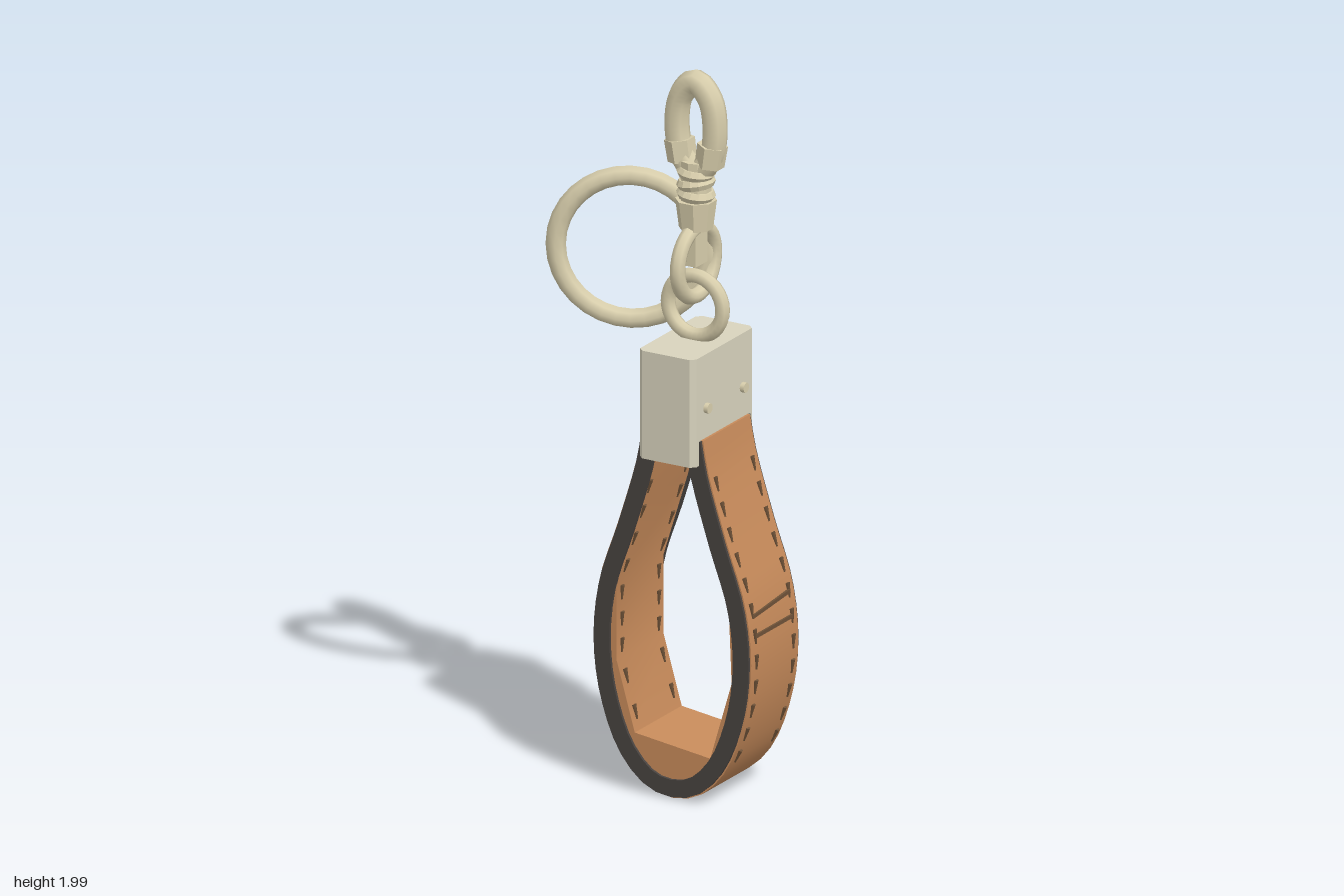
import * as THREE from 'three';
import { toCreasedNormals } from 'three/addons/utils/BufferGeometryUtils.js';

const CX = 0.085; // axis of strap, clamp and hook
const mat = (color, flatShading = false) =>
  new THREE.MeshStandardMaterial({ color, flatShading, side: THREE.DoubleSide });

export function createModel() {
  const root = new THREE.Group();
  const leather = mat(0xc68a5a), edge = mat(0x47423f), thread = mat(0x6e5238);
  const metal = mat(0xd8ceac), metalFlat = mat(0xd8ceac, true), plate = mat(0xd8d3bd, true);

  const add = (name, geo, material, x = 0, y = 0, z = 0, parent = root) => {
    const m = new THREE.Mesh(geo, material);
    m.name = name;
    m.position.set(x, y, z);
    parent.add(m);
    return m;
  };
  const extrude = (pts, depth) => toCreasedNormals(
    new THREE.ExtrudeGeometry(new THREE.Shape(pts), { depth, bevelEnabled: false }), 0.5);

  // Teardrop path of the strap, mirrored about its axis
  const half = [[0.093, 1.02], [0.11, 0.93], [0.165, 0.75], [0.222, 0.58], [0.24, 0.42],
    [0.22, 0.26], [0.16, 0.11], [0.08, 0.03]];
  const path = new THREE.CatmullRomCurve3([
    ...half.map(([d, y]) => new THREE.Vector3(CX - d, y, 0)),
    new THREE.Vector3(CX, 0.01, 0),
    ...half.slice().reverse().map(([d, y]) => new THREE.Vector3(CX + d, y, 0)),
  ]);
  const offset = (t, d) => { // move towards the inside of the loop
    const p = path.getPointAt(t), g = path.getTangentAt(t);
    return new THREE.Vector2(p.x - g.y * d, p.y + g.x * d);
  };
  const N = 48;
  const line = (d) => Array.from({ length: N + 1 }, (_, i) => offset(i / N, d));

  // Leather band with a coarsely folded inner face
  const liner = [[0.125, 1.02], [0.18, 0.82], [0.255, 0.6], [0.265, 0.36], [0.2, 0.14],
    [-0.03, 0.17], [-0.085, 0.36], [-0.085, 0.58], [-0.01, 0.82], [0.04, 1.02]]
    .map(([x, y]) => new THREE.Vector2(x, y));
  add('strap', extrude([...line(0), ...liner], 0.24), leather, 0, 0, -0.12);

  // Dark painted edges on both sides of the band
  const edgeGeo = extrude([...line(0.004), ...line(0.052).reverse()], 0.01);
  for (const z of [-0.128, 0.118]) add('strapEdge', edgeGeo, edge, 0, 0, z);

  // Stitching on the outer and inner faces
  const stitches = new THREE.Group();
  stitches.name = 'stitching';
  root.add(stitches);
  const stitchGeo = new THREE.CylinderGeometry(0.003, 0.008, 0.04, 5);
  const stitch = (x, y, angle) => {
    for (const z of [-0.094, 0.094]) add('stitch', stitchGeo, thread, x, y, z, stitches).rotation.z = angle;
  };
  for (let i = 0; i < 30; i++) {
    const t = 0.055 + i * 0.89 / 29, g = path.getTangentAt(t), p = offset(t, 0);
    if (p.y > 0.15) stitch(p.x, p.y, Math.atan2(g.y, g.x) + Math.PI / 2);
  }
  for (let i = 0; i < liner.length - 1; i++) {
    if (i === 4) continue; // plain fold at the bottom
    const a = liner[i], b = liner[i + 1], n = Math.round(a.distanceTo(b) / 0.08);
    for (let k = 0; k < n; k++) {
      const p = a.clone().lerp(b, (k + 0.5) / n);
      if (p.y < 0.9) stitch(p.x, p.y, Math.atan2(b.y - a.y, b.x - a.x) + Math.PI / 2);
    }
  }

  // Slits across the band
  for (const side of [-1, 1]) {
    for (const [y, d, tilt] of [[0.495, 0.237, 0], [0.555, 0.228, 0.08]]) {
      const slit = add('slit', new THREE.BoxGeometry(0.008, 0.01, 0.19), thread, CX + side * d, y, 0);
      slit.rotation.x = tilt;
    }
  }

  // Metal clamp with chamfered vertical corners
  const w = 0.086, h = 0.155, c = 0.014;
  const outline = [[w - c, -h], [w, c - h], [w, h - c], [w - c, h], [c - w, h], [-w, h - c], [-w, c - h], [c - w, -h]]
    .map(([x, y]) => new THREE.Vector2(x, y));
  const clampGeo = new THREE.ExtrudeGeometry(new THREE.Shape(outline), { depth: 0.3, bevelEnabled: false });
  clampGeo.rotateX(-Math.PI / 2);
  add('clamp', clampGeo, plate, CX, 0.952, 0);
  for (const z of [-0.093, 0.093]) {
    const rivet = add('rivet', new THREE.CylinderGeometry(0.014, 0.014, 0.196, 10), metal, CX, 1.103, z);
    rivet.rotation.z = Math.PI / 2;
  }

  // Linked rings
  const ring = (name, R, r, x, y, z, turn, sides = 8) => {
    const m = add(name, new THREE.TorusGeometry(R, r, sides, 32), metal, x, y, z);
    m.rotation.y = turn;
  };
  ring('lowerRing', 0.083, 0.02, 0.083, 1.343, 0, 0);
  ring('middleRing', 0.094, 0.021, 0.085, 1.465, 0, Math.PI / 2);
  ring('largeRing', 0.199, 0.027, -0.115, 1.468, -0.004, 0.41);

  // Swivel: stub, block and wound collar
  add('swivelStub', new THREE.BoxGeometry(0.034, 0.12, 0.06), metalFlat, CX, 1.52, 0);
  const block = add('swivelBlock', new THREE.CylinderGeometry(0.066, 0.054, 0.08, 8), metalFlat, CX, 1.6, 0);
  block.scale.set(0.84, 1, 0.82);
  block.rotation.y = Math.PI / 8;
  add('swivelNeck', new THREE.CylinderGeometry(0.042, 0.042, 0.13, 10), metalFlat, CX, 1.685, 0);
  for (let i = 0; i < 3; i++) {
    const wind = add('collarWinding', new THREE.TorusGeometry(0.037, 0.016, 6, 14), metalFlat, CX, 1.656 + i * 0.03, 0);
    wind.rotation.set(Math.PI / 2, (i % 2 ? 0.16 : -0.12), 0);
  }

  // Hook bow rising from the collar
  const bow = new THREE.CatmullRomCurve3([[-0.015, 1.72], [-0.045, 1.765], [-0.058, 1.85], [-0.043, 1.925], [0, 1.966],
    [0.043, 1.925], [0.058, 1.85], [0.047, 1.765], [0.015, 1.72]]
    .map(([x, y]) => new THREE.Vector3(CX + x, y, 0)));
  add('hook', new THREE.TubeGeometry(bow, 36, 0.034, 8), metal);

  // Hexagonal sleeves at the hook's feet
  for (const side of [-1, 1]) {
    const sleeve = add('hookSleeve', new THREE.CylinderGeometry(0.041, 0.039, 0.06, 6), metalFlat,
      CX + side * 0.046, 1.77, 0);
    sleeve.rotation.z = side * -0.15;
  }
  return root;
}
